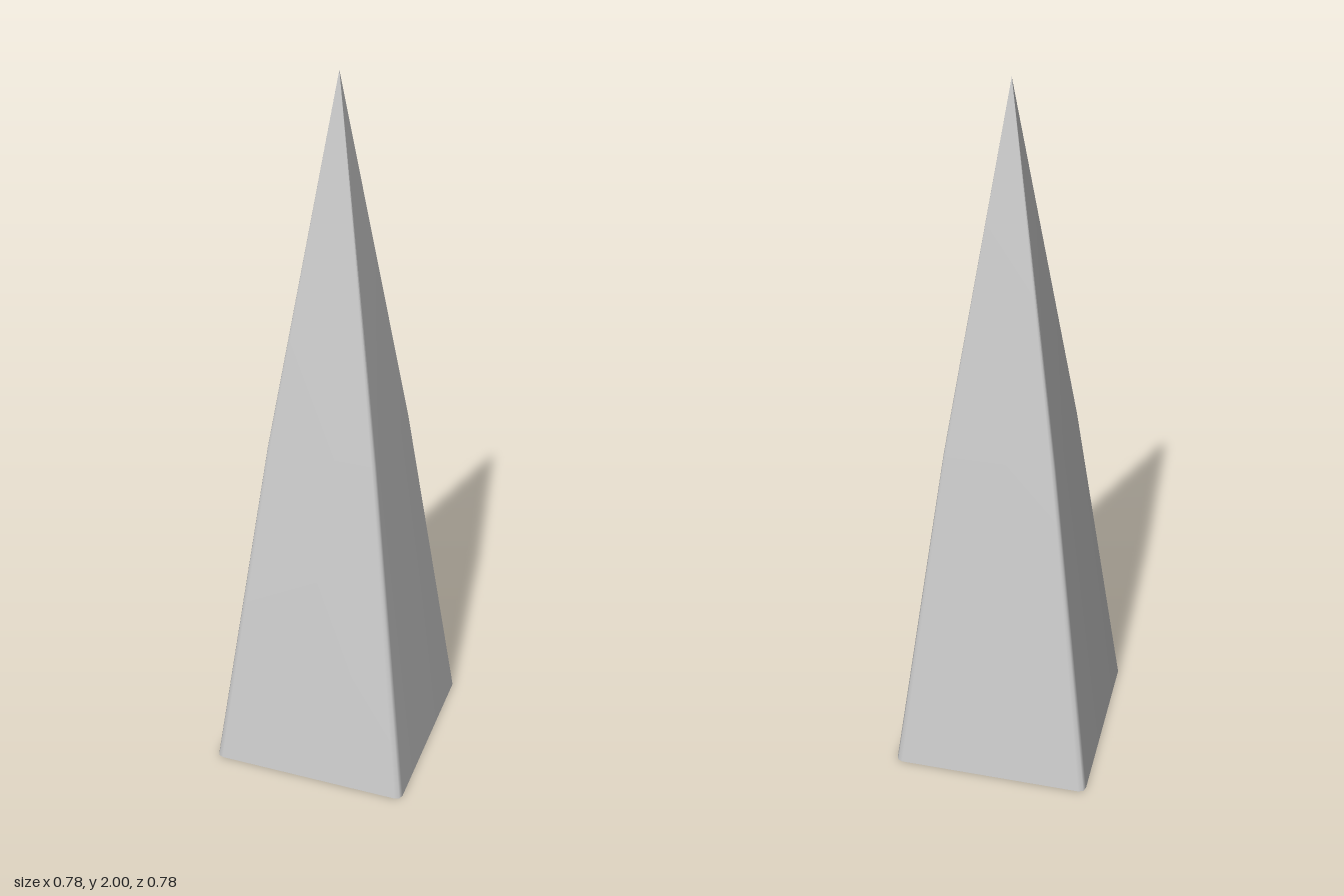
import * as THREE from 'three';

// Diamond outline with slightly rounded corners, counter-clockwise from above
function outline(half = 0.4, radius = 0.019) {
  const points = [];
  const centre = half - radius * Math.SQRT2;
  for (let corner = 0; corner < 4; corner++) {
    const a = corner * Math.PI / 2;
    for (let k = -1; k <= 1; k++) {
      const t = a + k * Math.PI / 4;
      points.push([
        centre * Math.cos(a) + radius * Math.cos(t),
        -centre * Math.sin(a) - radius * Math.sin(t),
      ]);
    }
  }
  return points;
}

// Skin the outline through [height, scale] levels, leaving the base open
function taperedShell(levels) {
  const ring = outline();
  const n = ring.length;
  const positions = [];
  const index = [];
  for (const [y, s] of levels) {
    for (const [x, z] of ring) positions.push(x * s, y, z * s);
  }
  for (let i = 0; i < levels.length - 1; i++) {
    for (let j = 0; j < n; j++) {
      const a = i * n + j;
      const b = i * n + (j + 1) % n;
      index.push(a, b, a + n);
      if (i < levels.length - 2) index.push(b, b + n, a + n);
    }
  }
  const geometry = new THREE.BufferGeometry();
  geometry.setAttribute('position', new THREE.Float32BufferAttribute(positions, 3));
  geometry.setIndex(index);
  geometry.computeVertexNormals();
  return geometry;
}

export function createModel() {
  const group = new THREE.Group();
  group.name = 'spike';
  const material = new THREE.MeshStandardMaterial({ color: 0xcccccc, side: THREE.DoubleSide });

  // Four-sided hollow spike, bulging slightly at mid height
  const shell = new THREE.Mesh(taperedShell([[0, 1], [1, 0.54], [2, 0]]), material);
  shell.name = 'spikeShell';
  group.add(shell);
  return group;
}
